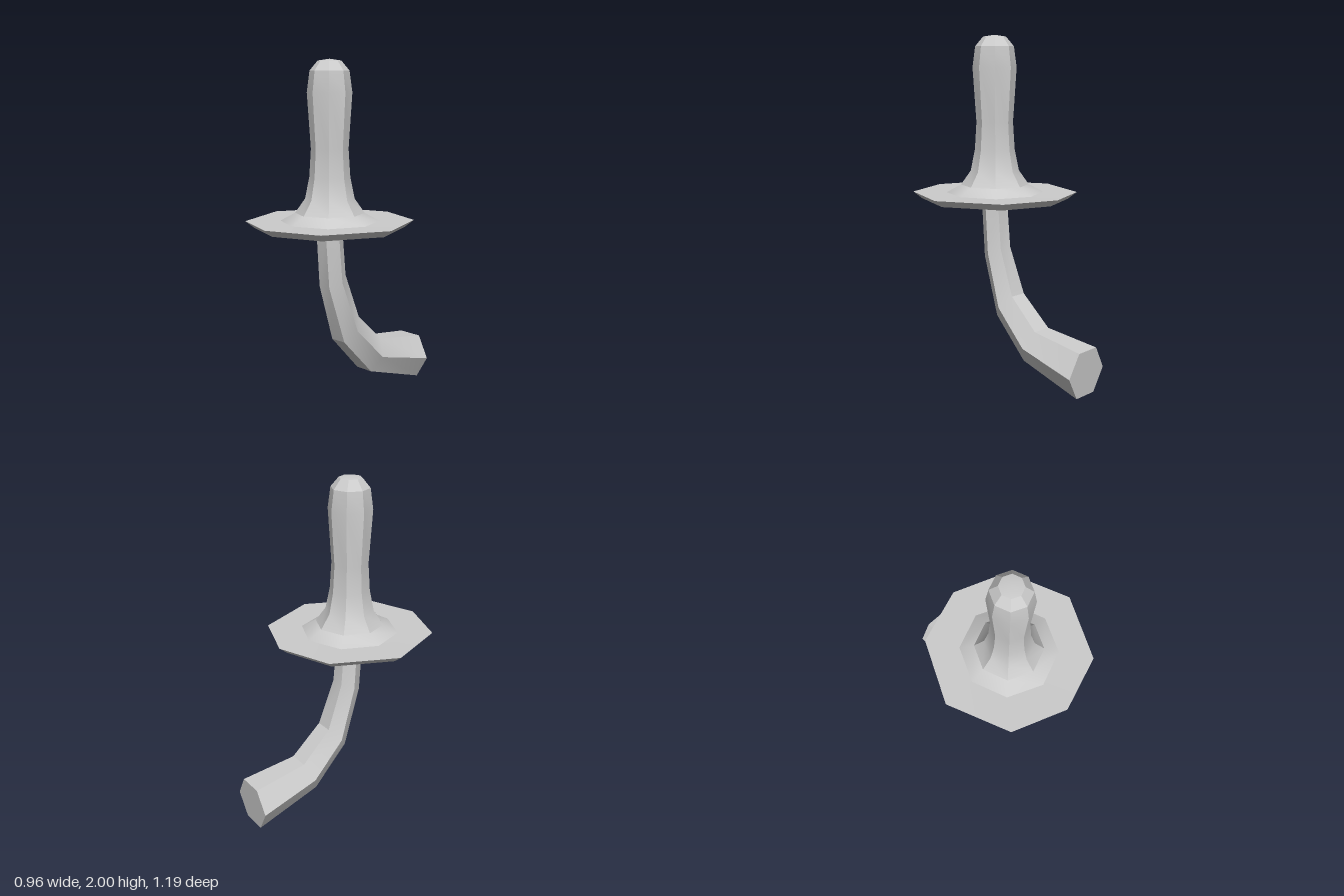
import * as THREE from 'three';
import { toCreasedNormals } from 'three/addons/utils/BufferGeometryUtils.js';

const AXIS_Z = 0.115;

function makeMesh(name, geometry) {
  const material = new THREE.MeshStandardMaterial({ color: 0xcccccc, side: THREE.DoubleSide });
  const mesh = new THREE.Mesh(toCreasedNormals(geometry, 0.45), material);
  mesh.name = name;
  return mesh;
}

// Eight-sided cap: hollow underside, wide brim, tall rounded crown
function createCap() {
  const profile = [
    [0.07, 1.3], [0.12, 1.18], [0.19, 1.09], [0.28, 1.034],
    [0.43, 1.047], [0.482, 1.087], [0.285, 1.086],
    [0.2, 1.132], [0.142, 1.215], [0.117, 1.34], [0.107, 1.5],
    [0.128, 1.815], [0.112, 1.935], [0.066, 1.99], [0, 2],
  ].map(([r, y]) => new THREE.Vector2(r, y));
  const geometry = new THREE.LatheGeometry(profile, 8);
  // The brim's diagonal corners sit slightly nearer the front and back
  const p = geometry.attributes.position;
  for (let i = 0; i < p.count; i++) {
    const x = p.getX(i), z = p.getZ(i);
    if (Math.hypot(x, z) > 0.4 && Math.abs(x * z) > 0.01) {
      p.setX(i, x * 0.94);
      p.setZ(i, z * 1.07);
    }
  }
  geometry.translate(0, 0, AXIS_Z);
  return makeMesh('cap', geometry);
}

// Six-sided stem bending backwards and thickening toward its cut end
function createStem() {
  // Each ring: front edge y, z; back edge y, z; half width
  const rings = [
    [1.25, 0.2, 1.25, 0.07, 0.076],
    [1.04, 0.185, 1.04, 0.053, 0.078],
    [0.7, 0.16, 0.76, 0.03, 0.083],
    [0.355, 0.05, 0.49, -0.07, 0.104],
    [0.125, -0.17, 0.315, -0.255, 0.118],
    [0.003, -0.577, 0.268, -0.592, 0.152],
  ];
  const rows = rings.length - 1;
  const geometry = new THREE.CylinderGeometry(1, 1, 1, 6, rows, false, Math.PI / 2);
  const p = geometry.attributes.position;
  for (let i = 0; i < p.count; i++) {
    const [fy, fz, by, bz, halfWidth] = rings[Math.round((0.5 - p.getY(i)) * rows)];
    const t = 0.5 - p.getZ(i) / Math.sqrt(3);
    p.setXYZ(i, p.getX(i) * halfWidth, THREE.MathUtils.lerp(fy, by, t), THREE.MathUtils.lerp(fz, bz, t));
  }
  return makeMesh('stem', geometry);
}

export function createModel() {
  const model = new THREE.Group();
  model.name = 'mushroom';
  model.add(createCap(), createStem());
  return model;
}
